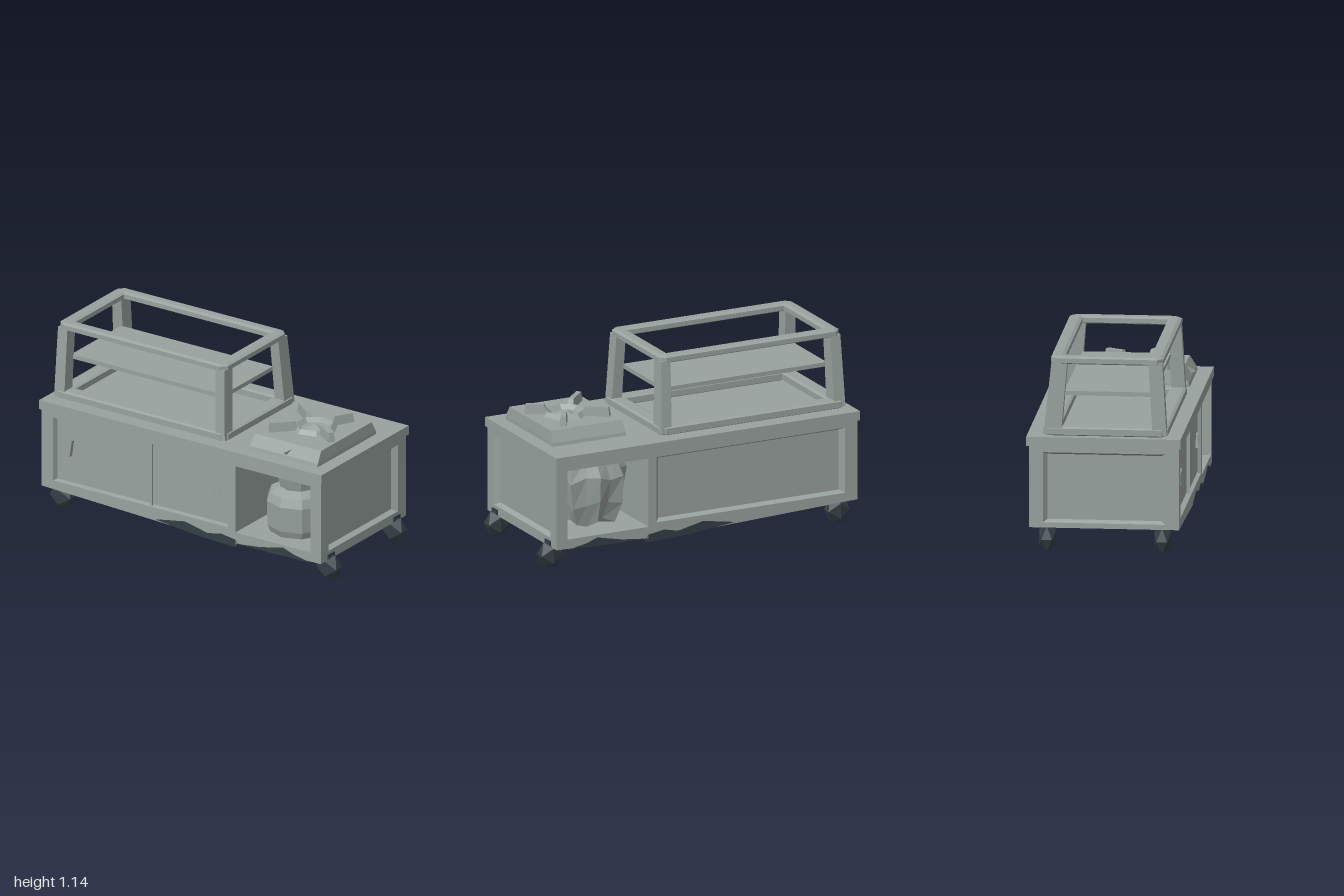
import * as THREE from 'three';

const mat = (name, color, side = THREE.FrontSide) =>
  Object.assign(new THREE.MeshStandardMaterial({ color, flatShading: true, side }), { name });

export function createModel() {
  const grey = mat('greyMetal', 0x98a29f);
  const dark = mat('darkRubber', 0x333f45);
  const model = new THREE.Group();
  model.name = 'foodCart';

  const add = (name, geo, material = grey, parent = model) => {
    const m = new THREE.Mesh(geo, material);
    m.name = name;
    parent.add(m);
    return m;
  };
  const box = (name, x0, x1, y0, y1, z0, z1, material = grey, parent = model) => {
    const m = add(name, new THREE.BoxGeometry(x1 - x0, y1 - y0, z1 - z0), material, parent);
    m.position.set((x0 + x1) / 2, (y0 + y1) / 2, (z0 + z1) / 2);
    return m;
  };
  // skin through equal-length loops, capped at the end and optionally the start
  const loft = (loops, startCap = true) => {
    const p = [], n = loops[0].length;
    const tri = (a, b, c) => p.push(...a, ...b, ...c);
    for (let k = 0; k + 1 < loops.length; k++) {
      const A = loops[k], B = loops[k + 1];
      for (let i = 0; i < n; i++) {
        const j = (i + 1) % n;
        tri(A[i], A[j], B[j]);
        tri(A[i], B[j], B[i]);
      }
    }
    const S = loops[0], E = loops[loops.length - 1];
    for (let i = 1; i < n - 1; i++) {
      tri(E[0], E[i], E[i + 1]);
      if (startCap) tri(S[0], S[i + 1], S[i]);
    }
    const g = new THREE.BufferGeometry();
    g.setAttribute('position', new THREE.Float32BufferAttribute(p, 3));
    g.computeVertexNormals();
    return g;
  };
  const flatRect = (x0, x1, z0, z1, y) => [[x1, y, z1], [x1, y, z0], [x0, y, z0], [x0, y, z1]];
  const poly = (pts) => new THREE.Shape(pts.map(([x, y]) => new THREE.Vector2(x, y)));
  const rectPts = (x0, y0, x1, y1) => [[x0, y0], [x1, y0], [x1, y1], [x0, y1]];

  // cabinet wall with framed openings; closed ones get a sloped, recessed panel
  const wall = (name, outline, openings, depth = 0.04) => {
    const g = new THREE.Group();
    g.name = name;
    const shape = poly(outline);
    openings.forEach(({ r }) => shape.holes.push(poly(rectPts(...r))));
    add('wallFrame', new THREE.ExtrudeGeometry(shape, { depth, bevelEnabled: false }), grey, g).position.z = -depth;
    openings.filter((o) => !o.open).forEach(({ r: [x0, y0, x1, y1], s = 0.025 }) => {
      const outer = rectPts(x0, y0, x1, y1).map(([x, y]) => [x, y, 0]);
      const inner = rectPts(x0 + s, y0 + s * 0.6, x1 - s, y1 - s * 0.6).map(([x, y]) => [x, y, -0.03]);
      add('recessedPanel', loft([outer, inner], false), grey, g);
    });
    model.add(g);
    return g;
  };

  // long walls, with a sagging lower edge and an open bay at one end
  const longOutline = [[-0.99, 0.15], [0.35, 0.1], [0.36, 0.115], [0.94, 0.125], [0.94, 0.63], [-0.99, 0.63]];
  const doorway = [-0.91, 0.2, 0.3, 0.59], bay = [0.35, 0.18, 0.87, 0.59];
  wall('frontWall', longOutline, [{ r: doorway, s: 0.01 }, { r: bay, open: true }]).position.z = 0.43;
  const flip = ([x0, y0, x1, y1]) => [-x1, y0, -x0, y1];
  const back = wall('backWall', longOutline.map(([x, y]) => [-x, y]), [{ r: flip(doorway) }, { r: flip(bay), open: true }]);
  back.rotation.y = Math.PI;
  back.position.z = -0.43;

  // end walls
  for (const [name, x, y, turn] of [['leftEndWall', 0.94, 0.125, 1], ['rightEndWall', -0.99, 0.15, -1]]) {
    const w = wall(name, rectPts(-0.425, y, 0.425, 0.63), [{ r: [-0.35, 0.18, 0.35, 0.59] }]);
    w.rotation.y = turn * Math.PI / 2;
    w.position.x = x;
  }

  // lining of the open bay
  box('bayInnerWall', 0.31, 0.35, 0.13, 0.63, -0.4, 0.4);
  box('bayOuterWall', 0.87, 0.905, 0.13, 0.63, -0.4, 0.4);
  box('bayFloor', 0.35, 0.87, 0.14, 0.18, -0.4, 0.4);
  box('bayCeiling', 0.35, 0.87, 0.59, 0.63, -0.4, 0.4);

  // sliding doors with small wedge handles
  box('slidingDoorLeft', -0.24, 0.29, 0.21, 0.58, 0.39, 0.41);
  box('doorSeam', -0.245, -0.235, 0.19, 0.585, 0.39, 0.42);
  const handle = (pts) =>
    add('doorHandle', new THREE.ExtrudeGeometry(poly(pts), { depth: 0.03, bevelEnabled: false })).position.z = 0.395;
  handle([[-0.8, 0.37], [-0.785, 0.47], [-0.82, 0.44]]);
  handle([[0.19, 0.37], [0.245, 0.415], [0.2, 0.46]]);

  // underside: two dark sheets and a grey patch at one end
  const lowY = (x) => (x < 0.355 ? 0.149 - (x + 0.99) * 0.042 : 0.113 + (x - 0.36) * 0.017);
  const underside = (name, pts, material) => {
    const g = new THREE.ShapeGeometry(poly(pts));
    const p = g.attributes.position;
    for (let i = 0; i < p.count; i++) p.setXYZ(i, p.getX(i), lowY(p.getX(i)), p.getY(i));
    g.computeVertexNormals();
    add(name, g, material);
  };
  underside('undersideMain', [[-0.8, -0.43], [0.35, -0.43], [0.35, 0.43], [-0.85, 0.43], [-0.55, 0]], dark);
  underside('undersideBay', rectPts(0.36, -0.43, 0.94, 0.43), dark);
  underside('undersidePatch', [[-0.99, -0.43], [-0.8, -0.43], [-0.55, 0], [-0.85, 0.43], [-0.99, 0.43]], grey);
  box('undersideStep', 0.35, 0.36, 0.092, 0.13, -0.43, 0.43, dark);

  // ragged dark scuffs along the lower edges
  const scuffs = [
    [[-0.2, 0.13], [0, 0.165], [0.16, 0.13], [0.25, 0.15], [0.35, 0.135], [0.35, 0.09], [0.1, 0.1]],
    [[0.36, 0.112], [0.87, 0.118], [0.75, 0.14], [0.68, 0.165], [0.52, 0.13]],
  ];
  for (const z of [0.428, -0.434]) {
    for (const s of scuffs) {
      add('edgeScuff', new THREE.ExtrudeGeometry(poly(s), { depth: 0.006, bevelEnabled: false }), dark).position.z = z;
    }
  }

  // counter
  box('counterTop', -1, 0.95, 0.625, 0.68, -0.445, 0.44);

  // faceted castors
  for (const x of [-0.91, 0.93]) {
    for (const z of [-0.33, 0.33]) {
      const wheel = add('castor', new THREE.IcosahedronGeometry(1, 0), dark);
      wheel.scale.set(0.082, 0.088, 0.058);
      wheel.position.set(x, 0.075, z);
      box('castorStem', x - 0.04, x + 0.02, 0.1, 0.16, z - 0.03, z + 0.03, dark);
    }
  }

  // display frame: chamfered rings joined by leaning posts
  const display = new THREE.Group();
  display.name = 'displayFrame';
  model.add(display);
  const ring = (name, x0, x1, z0, z1, wx, wz, y, h, bevel) => {
    const c = 0.025, a = x0 + bevel, b = x1 - bevel, f = -z1 + bevel, r = -z0 - bevel;
    const s = poly([[a + c, f], [b - c, f], [b, f + c], [b, r - c], [b - c, r], [a + c, r], [a, r - c], [a, f + c]]);
    s.holes.push(poly(rectPts(x0 + wx, -z1 + wz, x1 - wx, -z0 - wz)));
    const g = new THREE.ExtrudeGeometry(s, {
      depth: h - bevel, bevelEnabled: true, bevelSize: bevel, bevelThickness: bevel / 2, bevelSegments: 1,
    });
    const m = add(name, g, grey, display);
    m.rotation.x = -Math.PI / 2;
    m.position.y = y + bevel / 2;
  };
  ring('baseRing', -0.96, 0.23, -0.355, 0.36, 0.08, 0.08, 0.68, 0.05, 0.015);
  ring('topRing', -0.95, 0.21, -0.31, 0.335, 0.06, 0.06, 1.095, 0.045, 0.018);
  for (const [b0, b1, t0, t1] of [[-0.955, -0.885, -0.945, -0.88], [0.16, 0.225, 0.145, 0.205]]) {
    for (const [c0, c1, d0, d1] of [[0.275, 0.355, 0.25, 0.33], [-0.35, -0.25, -0.305, -0.215]]) {
      add('post', loft([flatRect(b0, b1, c0, c1, 0.69), flatRect(t0, t1, d0, d1, 1.11)]), grey, display);
    }
  }
  box('shelf', -0.895, 0.155, 0.905, 0.93, -0.235, 0.27, grey, display);

  // stove: tapered base, burner, four pan supports and a knob
  const stove = new THREE.Group();
  stove.name = 'stove';
  model.add(stove);
  add('stoveBase', loft([
    flatRect(0.395, 0.865, -0.24, 0.355, 0.68), flatRect(0.395, 0.865, -0.235, 0.35, 0.7),
    flatRect(0.405, 0.86, -0.2, 0.31, 0.765),
  ]), grey, stove);
  const burner = add('burnerRing', new THREE.TorusGeometry(0.11, 0.025, 4, 7), grey, stove);
  burner.rotation.x = -Math.PI / 2;
  burner.position.set(0.64, 0.765, 0.05);
  add('burnerCap', new THREE.ConeGeometry(0.07, 0.03, 5), grey, stove).position.set(0.64, 0.775, 0.05);
  for (const [x, z] of [[0.43, -0.11], [0.76, -0.16], [0.84, 0.17], [0.45, 0.24]]) {
    const dx = x - 0.64, dz = z - 0.05, len = Math.hypot(dx, dz);
    const arm = new THREE.Group();
    arm.name = 'panSupport';
    arm.position.set(0.64, 0, 0.05);
    arm.rotation.y = Math.atan2(-dz, dx);
    add('supportArm', loft([
      flatRect(0.09, len, -0.022, 0.022, 0.755), flatRect(0.12, len - 0.01, -0.015, 0.015, 0.82),
    ]), grey, arm);
    stove.add(arm);
  }
  const knob = add('knob', new THREE.ConeGeometry(0.04, 0.05, 4), grey, stove);
  knob.rotation.set(Math.PI / 2, 0.5, 0);
  knob.position.set(0.64, 0.72, 0.345);

  // gas bottle with collar and valve
  const profile = [[0, 0.18], [0.17, 0.18], [0.185, 0.22], [0.19, 0.37], [0.17, 0.42], [0.11, 0.45],
    [0.125, 0.52], [0.09, 0.52], [0.08, 0.46], [0, 0.46]].map(([r, y]) => new THREE.Vector2(r, y));
  add('gasBottle', new THREE.LatheGeometry(profile, 9)).position.set(0.61, 0, 0.17);
  add('gasValve', new THREE.CylinderGeometry(0.03, 0.04, 0.07, 5)).position.set(0.61, 0.485, 0.17);

  // crumpled cover behind the bottle, folded in uneven vertical pleats
  const pleats = 16;
  const fold = (y, rx, rz, k) => Array.from({ length: pleats }, (_, i) => {
    const a = (i / pleats) * Math.PI * 2;
    const w = (i % 2 ? 0.8 : 1) + 0.06 * Math.sin(i * 2.3 + k);
    return [0.61 + Math.cos(a) * rx * w, y + 0.02 * Math.sin(i * 1.7 + k), -0.17 - Math.sin(a) * rz * w];
  });
  add('crumpledCover', loft([
    fold(0.2, 0.17, 0.13, 0), fold(0.32, 0.22, 0.17, 1), fold(0.47, 0.24, 0.18, 2), fold(0.56, 0.2, 0.13, 3),
  ]));

  return model;
}
